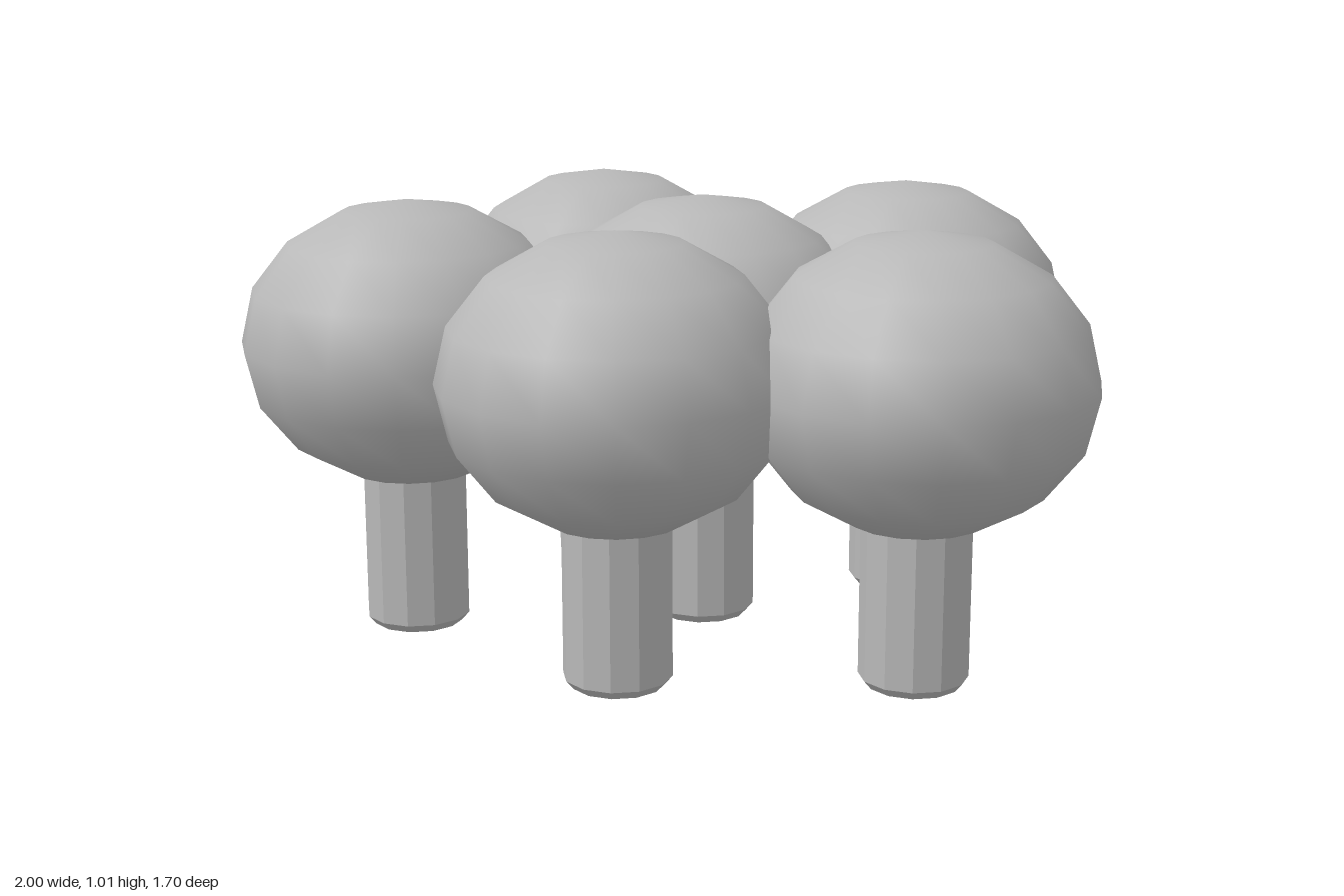
import * as THREE from 'three';

// [x, z] position of each tree in the cluster
const SPOTS = [
  [0, 0.46], [0.61, 0.23], [-0.61, 0.23],
  [0.38, -0.46], [-0.38, -0.385], [0, -0.075],
];

// Twelve-sided trunk with a small bevel at the foot, faceted
function trunkGeometry() {
  const profile = [[0, 0], [0.105, 0], [0.122, 0.02], [0.122, 0.42]]
    .map(([r, y]) => new THREE.Vector2(r, y));
  const geometry = new THREE.LatheGeometry(profile, 12, Math.PI / 12).toNonIndexed();
  geometry.computeVertexNormals();
  return geometry;
}

export function createModel() {
  const model = new THREE.Group();
  model.name = 'treeCluster';

  const grey = new THREE.MeshStandardMaterial({ color: 0xb8b8b8 });
  grey.name = 'grey';

  // Slightly flattened, smooth-shaded crown
  const crownGeometry = new THREE.SphereGeometry(0.39, 16, 8);
  crownGeometry.scale(1, 0.33 / 0.39, 1);
  const trunkGeo = trunkGeometry();

  SPOTS.forEach(([x, z], i) => {
    const tree = new THREE.Group();
    tree.name = `tree${i + 1}`;
    tree.position.set(x, 0, z);

    const trunk = new THREE.Mesh(trunkGeo, grey);
    trunk.name = 'trunk';

    const crown = new THREE.Mesh(crownGeometry, grey);
    crown.name = 'crown';
    crown.position.y = 0.68;

    tree.add(trunk, crown);
    model.add(tree);
  });

  return model;
}
